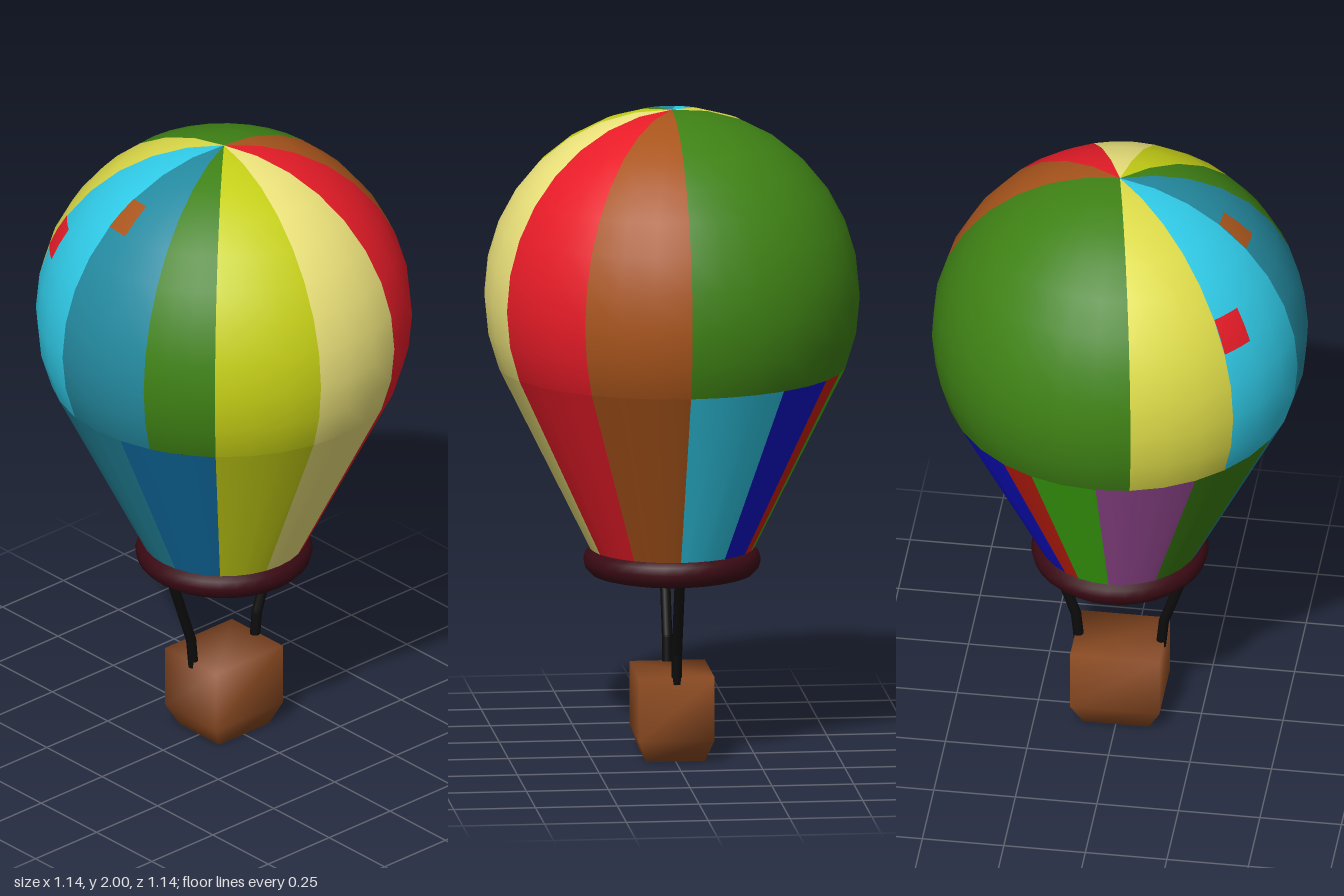
import * as THREE from 'three';
import { mergeVertices } from 'three/addons/utils/BufferGeometryUtils.js';

const STEP = Math.PI / 16; // one of 32 segments round the envelope
const R = 0.572, CENTRE = 1.428;
const RIM_Y = CENTRE + R * Math.cos(10 * STEP), RIM_R = R * Math.sin(10 * STEP);
const MOUTH_Y = 0.61, MOUTH_R = 0.232;

const C = {
  brown: 0xa9551c, red: 0xe81c28, cream: 0xeee47c, lime: 0xc6d016, green: 0x3f8215,
  teal: 0x248aa0, cyan: 0x30cbe8, yellow: 0xdcda48, ocean: 0x1070a8, blue: 0x1010d0,
  scarlet: 0xcc2010, leaf: 0x40b010, purple: 0x9c4c98, moss: 0x3c8010,
};

function part(name, geometry, color) {
  const mesh = new THREE.Mesh(geometry, new THREE.MeshStandardMaterial({ color }));
  mesh.name = name;
  return mesh;
}

// Piece of the dome: segments a..b counted from +x towards +z, rows t0..t1 from the top
function domePiece(a, b, t0, t1, radius) {
  return new THREE.SphereGeometry(radius, b - a, t1 - t0,
    Math.PI - b * STEP, (b - a) * STEP, t0 * STEP, (t1 - t0) * STEP);
}

export function createModel() {
  const model = new THREE.Group();
  model.name = 'hotAirBalloon';

  // Dome panels: [end segment, colour], each starting where the last one ended
  const dome = new THREE.Group();
  dome.name = 'dome';
  dome.position.y = CENTRE;
  let start = 0;
  for (const [end, color] of [[3, C.brown], [6, C.red], [9, C.cream], [12, C.lime],
    [14, C.green], [17, C.teal], [20, C.cyan], [23, C.yellow], [32, C.green]]) {
    dome.add(part('domePanel', domePiece(start, end, 0, 10, R), color));
    start = end;
  }
  // Two small patches on the dome
  dome.add(part('redPatch', domePiece(19, 20, 5, 6, R * 1.003), C.red));
  dome.add(part('brownPatch', domePiece(16, 17, 3, 4, R * 1.003), C.brown));
  model.add(dome);

  // Tapering skirt panels below the dome
  const skirt = new THREE.Group();
  skirt.name = 'skirt';
  const height = RIM_Y - MOUTH_Y;
  start = 0;
  for (const [end, color] of [[3, C.brown], [6, C.red], [9, C.cream], [12, C.lime],
    [15, C.ocean], [18, C.teal], [21, C.moss], [24, C.purple], [26, C.leaf],
    [27, C.scarlet], [29, C.blue], [32, C.cyan]]) {
    const g = new THREE.CylinderGeometry(RIM_R, MOUTH_R, height, end - start, 1, true,
      Math.PI / 2 - end * STEP, (end - start) * STEP);
    g.translate(0, MOUTH_Y + height / 2, 0);
    skirt.add(part('skirtPanel', g, color));
    start = end;
  }
  model.add(skirt);

  // Closed underside within the mouth ring
  const cap = part('mouthCap', new THREE.CircleGeometry(MOUTH_R, 32), 0xcccccc);
  cap.rotation.x = Math.PI / 2;
  cap.position.y = MOUTH_Y;
  model.add(cap);

  const ring = part('mouthRing', new THREE.TorusGeometry(0.224, 0.046, 12, 32), 0x3a0a14);
  ring.rotation.x = Math.PI / 2;
  ring.position.y = 0.608;
  model.add(ring);

  // Bent ropes from the ring to the basket
  for (const side of [-1, 1]) {
    const rope = new THREE.Group();
    rope.name = side > 0 ? 'leftRope' : 'rightRope';
    const points = [[0.23, 0.62], [0.135, 0.34], [0.126, 0.25]]
      .map(([x, y]) => new THREE.Vector3(side * x, y, 0));
    for (let i = 0; i < 2; i++) {
      const dir = points[i].clone().sub(points[i + 1]);
      const segment = part('ropeSegment', new THREE.CylinderGeometry(0.016, 0.016, dir.length() + 0.008, 10), 0x0c0c0c);
      segment.position.copy(points[i]).add(points[i + 1]).multiplyScalar(0.5);
      segment.quaternion.setFromUnitVectors(new THREE.Vector3(0, 1, 0), dir.normalize());
      rope.add(segment);
    }
    model.add(rope);
  }

  // Basket: a box drawn in towards its floor, with soft shading
  let basket = new THREE.BoxGeometry(0.274, 0.266, 0.23, 1, 2, 1);
  basket.translate(0, 0.133, 0);
  const p = basket.attributes.position;
  for (let i = 0; i < p.count; i++) {
    const y = p.getY(i);
    if (y < 0.01) p.setXYZ(i, p.getX(i) * 0.74, 0, p.getZ(i) * 0.78);
    else if (y < 0.2) p.setY(i, 0.07);
  }
  basket.deleteAttribute('normal');
  basket.deleteAttribute('uv');
  basket = mergeVertices(basket);
  basket.computeVertexNormals();
  model.add(part('basket', basket, 0x8a4a22));

  return model;
}
